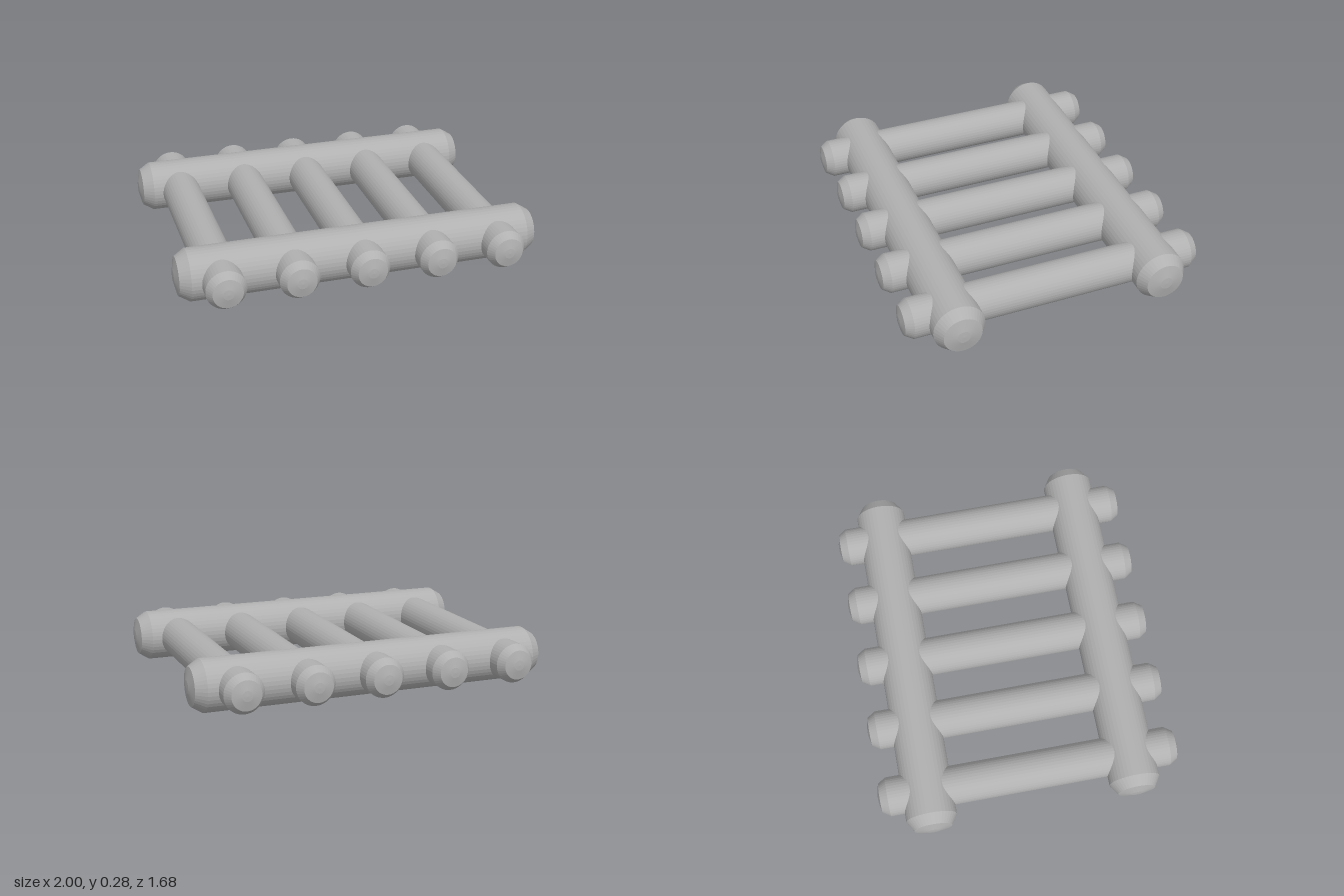
import * as THREE from 'three';

const grey = new THREE.MeshStandardMaterial({ color: 0xb0b0b0, flatShading: true });
grey.name = 'plain grey';

// Round log along y with a bevelled, slightly domed cap at both ends
function logGeometry(radius, half, shoulder, rim, rimRadius, tipRadius) {
  const top = [[radius, shoulder], [rimRadius, rim], [tipRadius, half - 0.002], [0, half]];
  const bottom = top.map(([r, y]) => [r, -y]).reverse();
  const points = [...bottom, ...top].map(([r, y]) => new THREE.Vector2(r, y));
  return new THREE.LatheGeometry(points, 40);
}

export function createModel() {
  const model = new THREE.Group();
  model.name = 'ladderSection';
  const centreY = 0.14;

  // Two thick side rails along x
  const railGeometry = logGeometry(0.14, 1, 0.925, 0.982, 0.104, 0.035).rotateZ(Math.PI / 2);
  for (const side of [1, -1]) {
    const rail = new THREE.Mesh(railGeometry, grey);
    rail.name = side > 0 ? 'frontRail' : 'backRail';
    rail.position.set(0, centreY, side * 0.567);
    model.add(rail);
  }

  // Five thinner rungs passing through both rails along z
  const rungGeometry = logGeometry(0.108, 0.84, 0.783, 0.826, 0.08, 0.028).rotateX(Math.PI / 2);
  [-0.765, -0.38, 0, 0.382, 0.762].forEach((x, i) => {
    const rung = new THREE.Mesh(rungGeometry, grey);
    rung.name = `rung${i + 1}`;
    rung.position.set(x, centreY, 0);
    model.add(rung);
  });

  return model;
}
